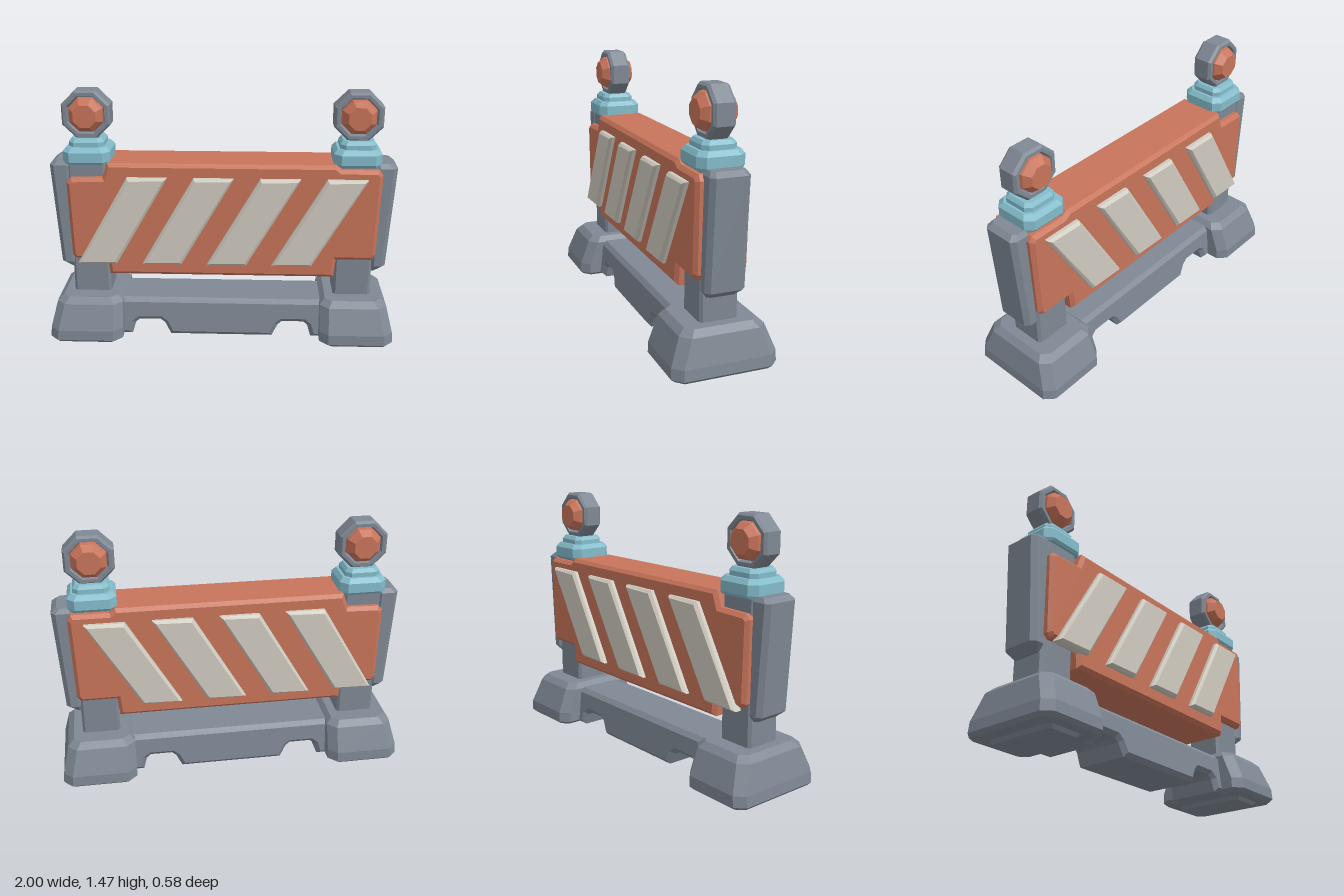
import * as THREE from 'three';

const material = (color) => new THREE.MeshStandardMaterial({ color, flatShading: true });

// Stacked chamfered rectangles, bottom to top: each ring is [y, x0, x1, halfDepth, chamfer]
function loft(rings) {
  const corners = rings.map(([y, x0, x1, z, c]) => [
    [x0 + c, y, z], [x1 - c, y, z], [x1, y, z - c], [x1, y, -z + c],
    [x1 - c, y, -z], [x0 + c, y, -z], [x0, y, -z + c], [x0, y, z - c],
  ]);
  const pos = [];
  const tri = (a, b, c) => pos.push(...a, ...b, ...c);
  for (let r = 0; r < corners.length - 1; r++) {
    for (let i = 0; i < 8; i++) {
      const j = (i + 1) % 8, lo = corners[r], hi = corners[r + 1];
      tri(lo[i], lo[j], hi[j]);
      tri(lo[i], hi[j], hi[i]);
    }
  }
  const bottom = corners[0], top = corners[corners.length - 1];
  for (let i = 1; i < 7; i++) {
    tri(top[0], top[i], top[i + 1]);
    tri(bottom[0], bottom[i + 1], bottom[i]);
  }
  const geo = new THREE.BufferGeometry();
  geo.setAttribute('position', new THREE.Float32BufferAttribute(pos, 3));
  geo.computeVertexNormals();
  return geo;
}

// Outline extruded along z, centred, with a single chamfer kept inside the outline
function slab(points, depth, bevel) {
  const shape = new THREE.Shape(points.map(([x, y]) => new THREE.Vector2(x, y)));
  const geo = new THREE.ExtrudeGeometry(shape, {
    depth: depth - 2 * bevel, bevelEnabled: true, bevelSegments: 1,
    bevelSize: bevel, bevelThickness: bevel, bevelOffset: -bevel,
  });
  geo.translate(0, 0, -depth / 2 + bevel);
  return geo;
}

// Eight-sided turned part whose axis is z, flats facing up and sideways
function turned(profile) {
  const geo = new THREE.LatheGeometry(profile.map(([r, z]) => new THREE.Vector2(r, z)), 8, Math.PI / 8);
  return geo.rotateX(Math.PI / 2);
}

export function createModel() {
  const model = new THREE.Group();
  model.name = 'roadBarrier';
  const grey = material(0x7f8894), orange = material(0xc8745a);
  const teal = material(0x84bccb), cream = material(0xd0cbc0);

  const add = (parent, name, geo, mat, x = 0, y = 0, z = 0) => {
    const mesh = new THREE.Mesh(geo, mat);
    mesh.name = name;
    mesh.position.set(x, y, z);
    parent.add(mesh);
    return mesh;
  };

  // Board with stepped corners
  add(model, 'board', slab([
    [-0.65, 0.40], [0.65, 0.40], [0.66, 0.51], [0.865, 0.51], [0.885, 0.54],
    [0.90, 1.02], [0.88, 1.05], [0.67, 1.05], [0.64, 1.075], [-0.64, 1.075],
    [-0.67, 0.99], [-0.85, 0.985], [-0.875, 0.96], [-0.865, 0.52], [-0.845, 0.495], [-0.66, 0.495],
  ], 0.295, 0.02), orange);

  // Slanted stripes on both faces
  const stripe = slab([[-0.275, 0.48], [-0.05, 0.48], [0.25, 1.0], [0.025, 1.0]], 0.07, 0.016);
  for (const z of [0.148, -0.148]) {
    for (let i = 0; i < 4; i++) {
      add(model, z > 0 ? 'frontStripe' : 'backStripe', stripe, cream, -0.553 + i * 0.373, 0, z);
    }
  }

  // Lower beam with two cut-outs underneath, slightly wider at the bottom
  const half = [[0.30, 0.02], [0.335, 0.09], [0.36, 0.11], [0.485, 0.11], [0.51, 0.09], [0.53, 0.02], [0.66, 0.02], [0.66, 0.25]];
  const beam = slab([...half, ...half.map(([x, y]) => [-x, y]).reverse()], 0.34, 0.025);
  const p = beam.attributes.position;
  for (let i = 0; i < p.count; i++) p.setZ(i, p.getZ(i) * (1.03 - 0.6 * p.getY(i)));
  add(model, 'lowerBeam', beam, grey);

  // Shared geometry for the two ends, described on the +x side
  const foot = loft([
    [0.02, 0.60, 0.98, 0.27, 0.04], [0.04, 0.575, 1.0, 0.292, 0.05], [0.10, 0.575, 0.995, 0.29, 0.05],
    [0.245, 0.575, 0.96, 0.235, 0.05], [0.278, 0.605, 0.925, 0.20, 0.04],
  ]);
  const pad = loft([[0, 0.69, 0.89, 0.20, 0.02], [0.03, 0.67, 0.91, 0.22, 0.02]]);
  const post = loft([[0.25, 0.655, 0.872, 0.105, 0.015], [1.09, 0.655, 0.872, 0.105, 0.015]]);
  const sidePlate = loft([
    [0.42, 0.86, 0.90, 0.08, 0.015], [0.46, 0.86, 0.95, 0.11, 0.025],
    [1.05, 0.86, 0.985, 0.108, 0.025], [1.075, 0.86, 0.955, 0.09, 0.02],
  ]);
  const lampBase = loft([
    [1.06, 0.63, 0.89, 0.12, 0.035], [1.075, 0.625, 0.893, 0.131, 0.04], [1.13, 0.625, 0.893, 0.131, 0.04],
    [1.155, 0.645, 0.873, 0.11, 0.035],
  ]);
  const lampCollar = loft([
    [1.14, 0.66, 0.86, 0.095, 0.03], [1.18, 0.66, 0.86, 0.095, 0.03], [1.20, 0.675, 0.845, 0.08, 0.025],
  ]);
  const ring = turned([
    [0.115, -0.06], [0.135, -0.06], [0.148, -0.045], [0.148, 0.045], [0.135, 0.06],
    [0.115, 0.06], [0.105, 0.035], [0.105, -0.035], [0.115, -0.06],
  ]);
  const lens = turned([
    [0, -0.1], [0.068, -0.1], [0.1, -0.062], [0.106, -0.03],
    [0.106, 0.03], [0.1, 0.062], [0.068, 0.1], [0, 0.1],
  ]);

  // Ends: turning half way round keeps the faces outward
  for (const side of [1, -1]) {
    const end = new THREE.Group();
    end.name = side > 0 ? 'leftEnd' : 'rightEnd';
    if (side < 0) end.rotation.y = Math.PI;
    add(end, 'foot', foot, grey);
    add(end, 'footPad', pad, grey);
    add(end, 'post', post, grey);
    add(end, 'sidePlate', sidePlate, grey, side > 0 ? 0 : -0.012);
    add(end, 'lampBase', lampBase, teal);
    add(end, 'lampCollar', lampCollar, teal);
    add(end, 'lampRing', ring, grey, 0.759, 1.33);
    add(end, 'lampLens', lens, orange, 0.759, 1.33);
    model.add(end);
  }
  return model;
}
